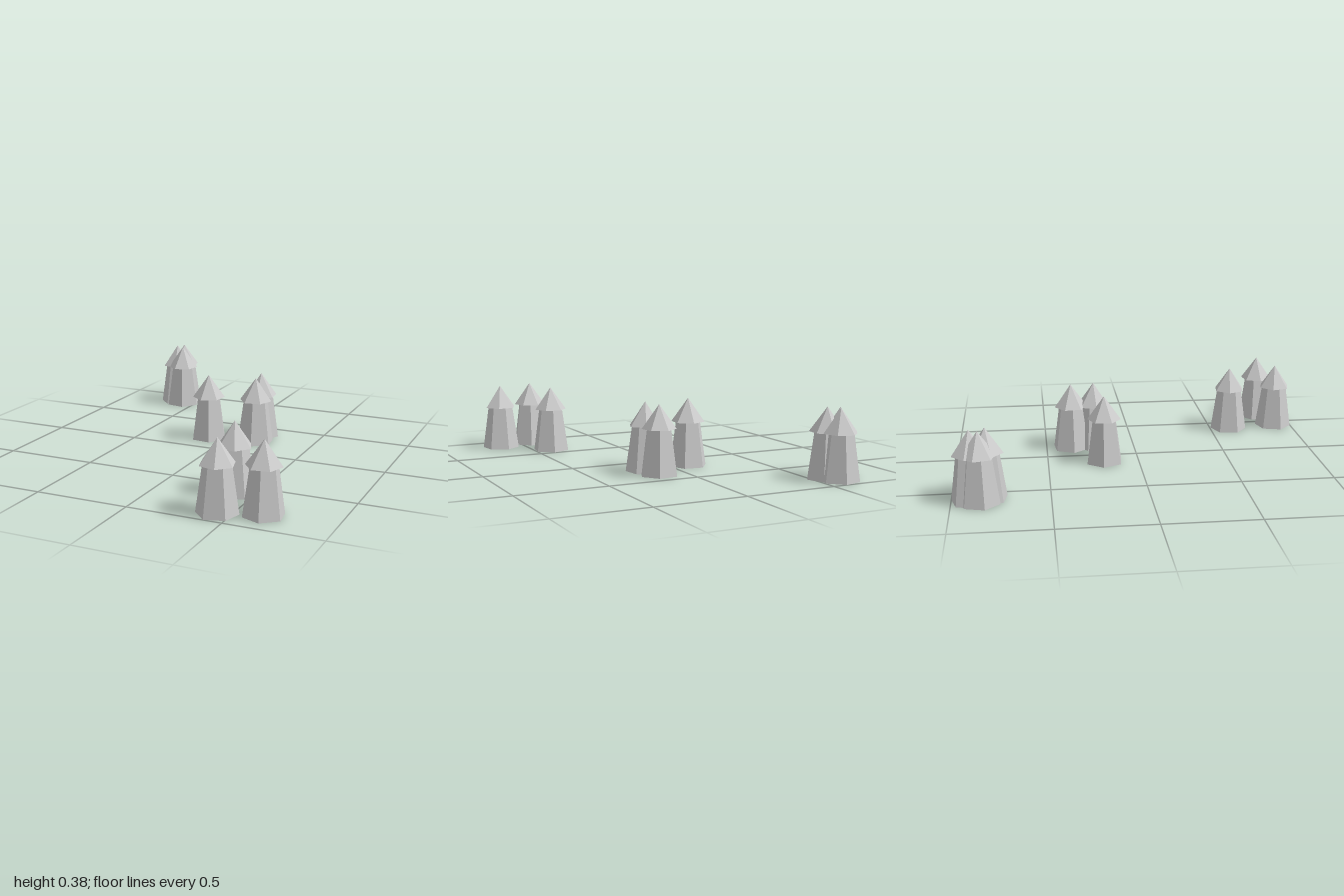
import * as THREE from 'three';

// x, z and heading (degrees from +x towards +z of one base corner) of each tower
const TOWERS = [
  // back cluster
  [-0.606, -0.898, 45],
  [-0.634, -0.855, 46],
  [-0.579, -0.82, 10],
  // middle cluster
  [-0.106, -0.19, 6.4],
  [0.153, -0.358, 53.6],
  [0.171, -0.228, 22],
  // front cluster
  [0.398, 0.61, 38.2],
  [0.64, 0.83, 21.8],
  [0.431, 0.895, 45],
];

const WALL_H = 0.245;
const ROOF_H = 0.13;

export function createModel() {
  const model = new THREE.Group();
  model.name = 'towerClusters';
  const material = new THREE.MeshStandardMaterial({ color: 0xcccccc, flatShading: true });

  // tapered six-sided wall and a pointed roof turned half a side against it
  const wallGeometry = new THREE.CylinderGeometry(0.071, 0.106, WALL_H, 6);
  wallGeometry.translate(0, WALL_H / 2, 0);
  const roofGeometry = new THREE.ConeGeometry(0.092, ROOF_H, 6);
  roofGeometry.translate(0, WALL_H + ROOF_H / 2, 0);

  for (const [x, z, heading] of TOWERS) {
    const tower = new THREE.Group();
    tower.name = 'tower';

    const wall = new THREE.Mesh(wallGeometry, material);
    wall.name = 'towerWall';
    wall.rotation.y = Math.PI / 6;

    const roof = new THREE.Mesh(roofGeometry, material);
    roof.name = 'towerRoof';

    tower.add(wall, roof);
    tower.position.set(x, 0, z);
    tower.rotation.y = -THREE.MathUtils.degToRad(heading);
    model.add(tower);
  }
  return model;
}
